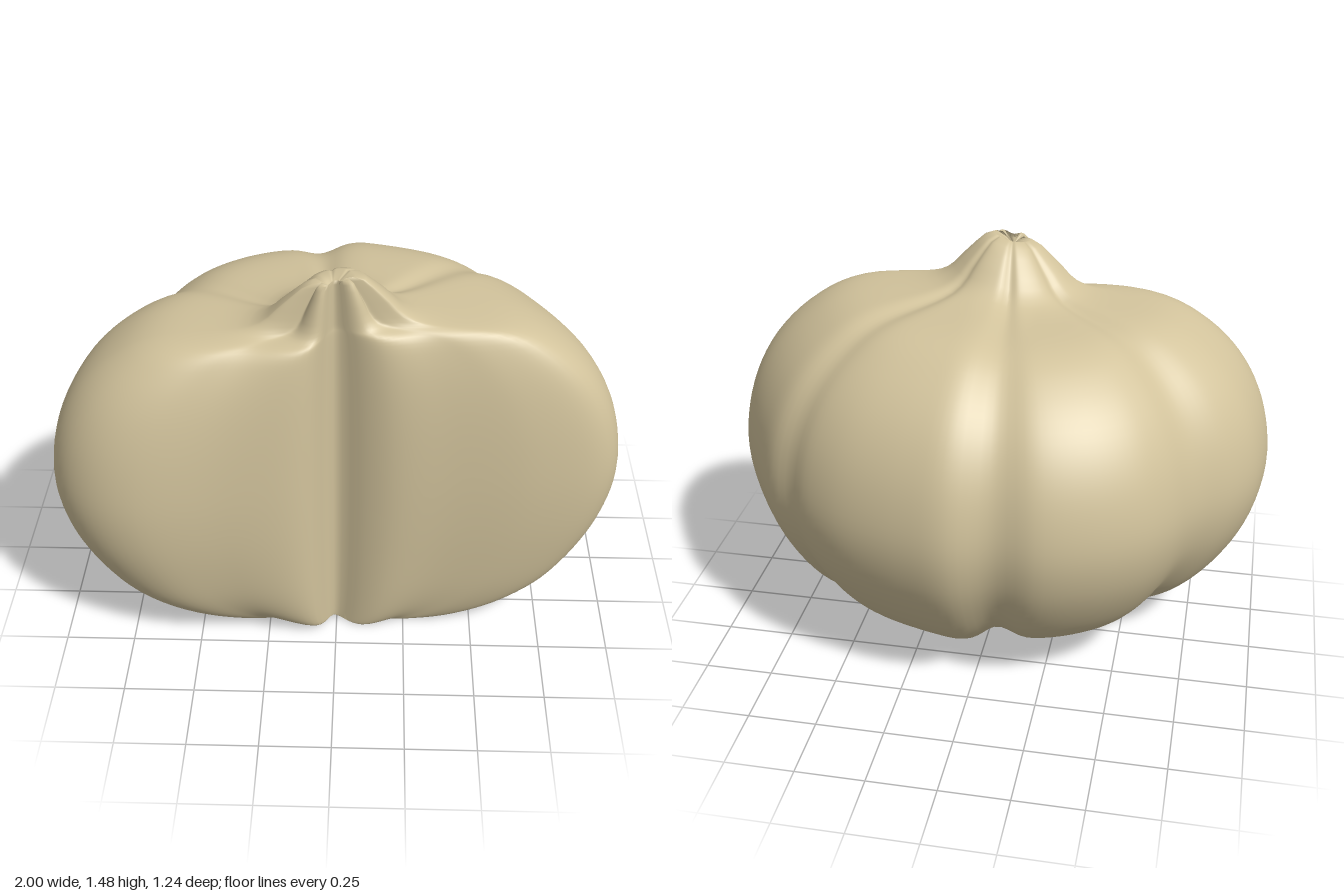
import * as THREE from 'three';

const V = (x, z) => new THREE.Vector3(x, 0, z);
const { smoothstep, lerp } = THREE.MathUtils;

// Horizontal outline at the widest level: front cleft, right lobes, back, left lobes
const OUTLINE = [
  [-0.01, 0.37], [-0.09, 0.48], [-0.16, 0.52], [-0.4, 0.57], [-0.68, 0.618], [-0.82, 0.59],
  [-0.92, 0.52], [-0.98, 0.42], [-1, 0.3], [-0.98, 0.12], [-0.95, 0.03], [-0.88, -0.08],
  [-0.76, -0.2], [-0.69, -0.32], [-0.6, -0.43], [-0.45, -0.53], [-0.26, -0.59], [-0.1, -0.575],
  [0.05, -0.62], [0.2, -0.6], [0.45, -0.52], [0.6, -0.43], [0.67, -0.36], [0.76, -0.3],
  [0.85, -0.18], [0.95, 0], [0.985, 0.1], [1, 0.21], [0.98, 0.31], [0.92, 0.37],
  [0.7, 0.43], [0.4, 0.445], [0.2, 0.45], [0.1, 0.42], [0.02, 0.375],
];

// Vertical profile: share of the outline radius against height, from base to stem tip
const PROFILE = [
  [0, 0.09], [0.06, 0.07], [0.18, 0.025], [0.29, 0], [0.46, 0.02], [0.64, 0.09], [0.79, 0.2],
  [0.9, 0.35], [0.975, 0.52], [1, 0.7], [0.965, 0.9], [0.88, 1.07], [0.75, 1.2], [0.59, 1.28],
  [0.33, 1.31], [0.24, 1.34], [0.18, 1.4], [0.1, 1.475], [0.06, 1.485], [0, 1.45],
];

const CORE = V(-0.01, 0.355);
const GROOVES = [[-0.76, -0.2], [-0.1, -0.575], [0.67, -0.36]]
  .map(([x, z]) => Math.atan2(x - CORE.x, CORE.z - z));

function lobedBody(cols = 160, rows = 72) {
  const ring = new THREE.CatmullRomCurve3(OUTLINE.map(([x, z]) => V(x, z)), true)
    .getSpacedPoints(cols).slice(0, cols);
  const profile = new THREE.SplineCurve(PROFILE.map(([s, y]) => new THREE.Vector2(s, y)))
    .getSpacedPoints(rows);
  const positions = [], index = [];

  profile.forEach((p, j) => {
    const s = Math.min(1, Math.max(0, p.x));
    ring.forEach((q) => {
      const dx = q.x - CORE.x, dz = q.z - CORE.z;
      const wide = smoothstep(Math.hypot(dx, dz), 0.1, 0.6);
      // Narrow parts beside the cleft stay full up to the stem; the front faces round off
      const px = lerp(0.45, 1, wide);
      const pz = dz > 0 ? lerp(0.45, 1.6, wide) : px;
      const x = CORE.x + dx * s ** px;
      const z = CORE.z + dz * s ** pz;
      // The right half is a little shorter than the left
      let y = 0.68 + (p.y - 0.68) * lerp(0.955, 1, smoothstep(x, -0.15, 0.1));
      // Grooves between lobes pinch the base and shoulders
      const a = Math.atan2(dx, -dz);
      const g = GROOVES.reduce((sum, c) => sum + Math.exp(-(((a - c) / 0.1) ** 2)), 0);
      y += g * Math.sin(Math.PI * s) * (p.y < 0.7 ? 0.045 : -0.015);
      positions.push(x, y, z);
    });
    if (j === rows) return;
    for (let i = 0; i < cols; i++) {
      const a = j * cols + i, b = j * cols + ((i + 1) % cols);
      index.push(a, a + cols, b, b, a + cols, b + cols);
    }
  });

  const geometry = new THREE.BufferGeometry();
  geometry.setAttribute('position', new THREE.Float32BufferAttribute(positions, 3));
  geometry.setIndex(index);
  geometry.computeVertexNormals();
  return geometry;
}

export function createModel() {
  const group = new THREE.Group();
  group.name = 'lobedBulb';
  const tan = new THREE.MeshStandardMaterial({ color: 0xd2c39c, side: THREE.DoubleSide });
  tan.name = 'pale tan';
  const body = new THREE.Mesh(lobedBody(), tan);
  body.name = 'bulbBody';
  group.add(body);
  return group;
}
